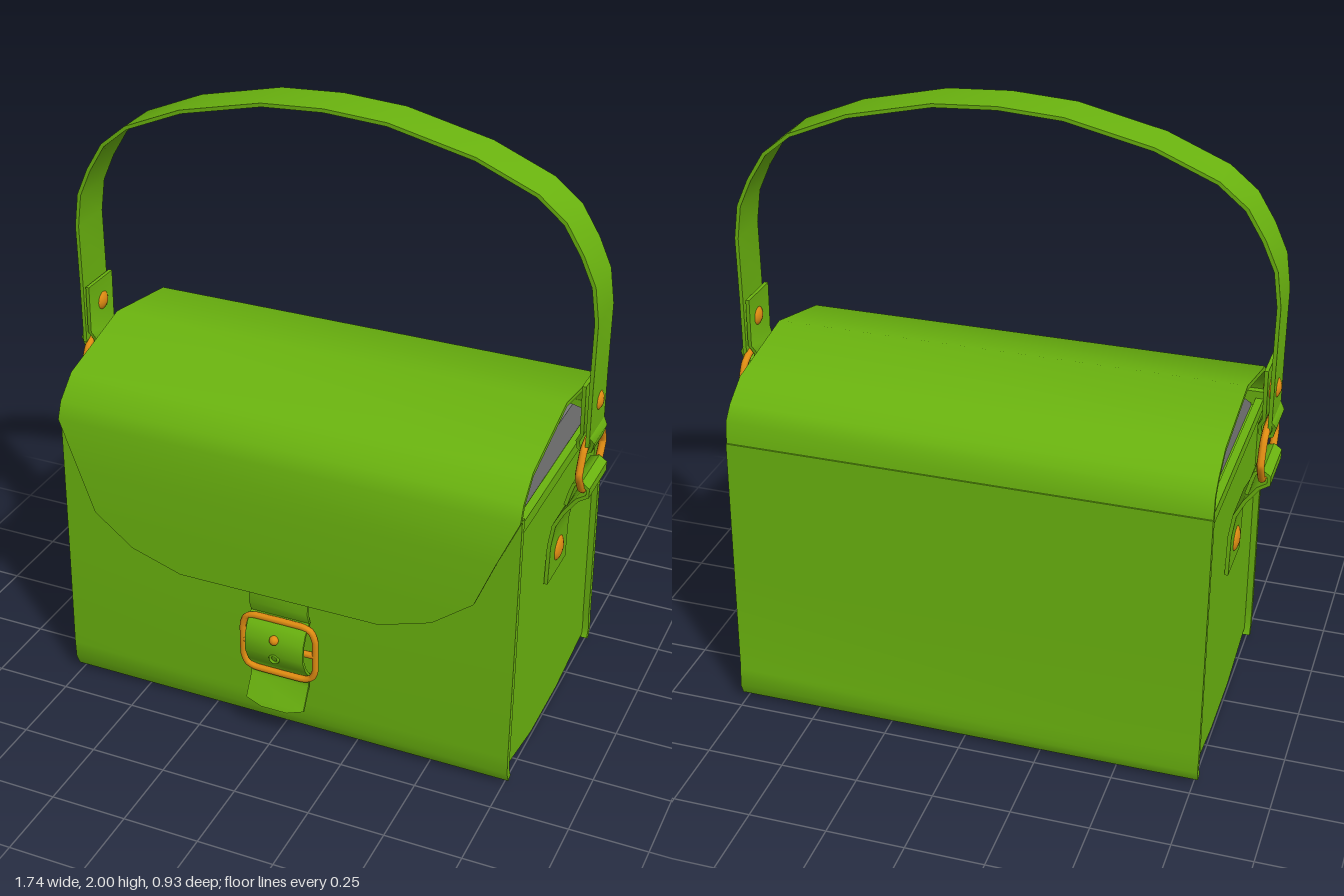
import * as THREE from 'three';
import { toCreasedNormals } from 'three/addons/utils/BufferGeometryUtils.js';

const mat = (name, color) => {
  const m = new THREE.MeshStandardMaterial({ color });
  m.name = name;
  return m;
};

// Strip of leather: rows are [x, y, halfWidth], the width runs along z
function strip(rows, thickness) {
  const pos = [], index = [];
  rows.forEach(([x, y, w], i) => {
    const a = rows[Math.max(i - 1, 0)], b = rows[Math.min(i + 1, rows.length - 1)];
    const len = Math.hypot(b[0] - a[0], b[1] - a[1]);
    const nx = -(b[1] - a[1]) / len * thickness / 2, ny = (b[0] - a[0]) / len * thickness / 2;
    pos.push(x + nx, y + ny, w, x + nx, y + ny, -w, x - nx, y - ny, -w, x - nx, y - ny, w);
    if (i === rows.length - 1) return;
    for (let k = 0; k < 4; k++) {
      const p = i * 4 + k, q = i * 4 + (k + 1) % 4;
      index.push(p, p + 4, q + 4, p, q + 4, q);
    }
  });
  const e = (rows.length - 1) * 4;
  index.push(0, 1, 2, 0, 2, 3, e, e + 2, e + 1, e, e + 3, e + 2);
  const g = new THREE.BufferGeometry();
  g.setAttribute('position', new THREE.Float32BufferAttribute(pos, 3));
  g.setIndex(index);
  return toCreasedNormals(g, 0.9);
}

// Same strip with rows [z, y, halfWidth] and the width along x
const crossStrip = (rows, thickness) => strip(rows, thickness).rotateY(-Math.PI / 2);

// Solid with a (z, y) profile running along x
function prism(points, width) {
  const shape = new THREE.Shape(points.map(([z, y]) => new THREE.Vector2(z, y)));
  return new THREE.ExtrudeGeometry(shape, { depth: width, bevelEnabled: false })
    .translate(0, 0, -width / 2).rotateY(-Math.PI / 2);
}

// Closed wire bent through the given points
function wire(points, radius, tension) {
  const curve = new THREE.CatmullRomCurve3(points, true, 'catmullrom', tension);
  return new THREE.TubeGeometry(curve, 64, radius, 8, true);
}

export function createModel() {
  const leather = mat('green leather', 0x6ab30f);
  const brass = mat('orange brass', 0xe08c12);
  const lining = mat('grey lining', 0x7a7a7a);

  const bag = new THREE.Group();
  bag.name = 'handbag';
  const add = (name, geometry, material, parent = bag) => {
    const mesh = new THREE.Mesh(geometry, material);
    mesh.name = name;
    parent.add(mesh);
    return mesh;
  };

  // Body, with the stuffing showing below the flap
  add('body', prism([[0.37, 0.92], [0.37, 0.05], [0.1, 0.005], [-0.16, 0.005],
    [-0.44, 0.04], [-0.425, 0.92]], 1.49), leather);
  add('stuffing', prism([[0.35, 0.9], [0.35, 0.93], [0.17, 1.045], [-0.22, 1.045],
    [-0.4, 0.93], [-0.4, 0.9]], 1.44), lining);

  // Front panel, back panel and flap
  const W = 0.765;
  add('frontPanel', crossStrip([[0.37, 0.97, W], [0.378, 0.5, W], [0.387, 0.12, W],
    [0.385, 0.06, W], [0.37, 0.025, W]], 0.022), leather);
  add('backPanel', crossStrip([[-0.44, 0.025, W], [-0.455, 0.06, W], [-0.447, 0.12, W],
    [-0.44, 0.5, W], [-0.432, 0.95, W]], 0.022), leather);
  add('flap', crossStrip([[-0.432, 0.93, W], [-0.424, 1.02, W], [-0.39, 1.06, W],
    [-0.31, 1.113, W], [0, 1.163, W], [0.3, 1.085, W], [0.37, 1.02, W], [0.39, 0.97, W],
    [0.403, 0.82, 0.7], [0.41, 0.67, 0.64], [0.412, 0.57, 0.51], [0.413, 0.515, 0.34]], 0.016), leather);

  // Front fastening
  const fastener = new THREE.Group();
  fastener.name = 'fastener';
  bag.add(fastener);
  add('buckleStrap', crossStrip([[0.405, 0.56, 0.1], [0.414, 0.48, 0.1], [0.4, 0.44, 0.1],
    [0.43, 0.41, 0.1], [0.448, 0.375, 0.1], [0.45, 0.32, 0.1], [0.43, 0.275, 0.1],
    [0.403, 0.24, 0.1], [0.41, 0.2, 0.1], [0.45, 0.13, 0.1], [0.456, 0.113, 0.045]], 0.01), leather, fastener);
  const corners = [];
  for (const [sx, sy] of [[1, 1], [-1, 1], [-1, -1], [1, -1]]) {
    const ends = [[0.125, 0.055], [0.112, 0.088], [0.08, 0.1]];
    if (sx * sy < 0) ends.reverse();
    ends.forEach(([x, y]) => corners.push(new THREE.Vector3(sx * x, 0.33 + sy * y, 0.415)));
  }
  add('buckleFrame', wire(corners, 0.011, 0.2), brass, fastener);
  add('buckleBar', new THREE.CylinderGeometry(0.011, 0.011, 0.25, 8).rotateZ(Math.PI / 2),
    brass, fastener).position.set(0, 0.33, 0.415);
  add('bucklePin', new THREE.SphereGeometry(0.016, 10, 8), brass, fastener).position.set(0, 0.378, 0.451);
  const hole = add('strapHole', new THREE.TorusGeometry(0.014, 0.005, 6, 12), leather, fastener);
  hole.position.set(0, 0.308, 0.452);

  // Handle arch, mirrored about the middle
  const half = [[0.853, 1.07], [0.853, 1.27], [0.855, 1.48], [0.84, 1.59], [0.8, 1.68],
    [0.745, 1.77], [0.66, 1.84], [0.47, 1.92], [0.2, 1.982]];
  const arch = [...half, [0, 1.994], ...half.slice().reverse().map(([x, y]) => [-x, y])];
  const handle = add('handle', strip(arch.map(([x, y]) => [x, y, 0.075]), 0.012), leather);
  handle.position.z = -0.01;

  // Fittings at both ends
  for (const s of [1, -1]) {
    const fitting = new THREE.Group();
    fitting.name = s > 0 ? 'leftFitting' : 'rightFitting';
    bag.add(fitting);
    const side = rows => rows.map(([x, y, w]) => [s * x, y, w]);

    add('gussetRim', new THREE.BoxGeometry(0.025, 0.04, 0.78), leather, fitting)
      .position.set(s * 0.745, 0.925, -0.03);
    add('handleLoop', strip(side([[0.853, 1.1, 0.075], [0.866, 1.08, 0.065], [0.858, 1.05, 0.06],
      [0.84, 1.042, 0.06], [0.823, 1.055, 0.06], [0.82, 1.08, 0.065], [0.834, 1.11, 0.075],
      [0.832, 1.27, 0.075]]), 0.012), leather, fitting).position.z = -0.01;
    add('sideTab', strip(side([[0.8, 0.86, 0.09], [0.813, 0.91, 0.09], [0.822, 0.937, 0.09],
      [0.845, 0.945, 0.09], [0.866, 0.93, 0.09], [0.866, 0.905, 0.09], [0.835, 0.885, 0.09],
      [0.795, 0.83, 0.09], [0.768, 0.775, 0.09], [0.757, 0.7, 0.09], [0.754, 0.56, 0.09]]), 0.012),
      leather, fitting).position.z = -0.02;

    const ring = [[0.075, 0.915], [0.122, 0.985], [0.09, 1.055], [0.045, 1.078],
      [-0.045, 1.078], [-0.09, 1.055], [-0.122, 0.985], [-0.075, 0.915]];
    add('ring', wire(ring.map(([z, y]) => new THREE.Vector3(s * 0.843, y, z - 0.025)), 0.012, 0.2),
      brass, fitting);

    // Domed rivets
    for (const [name, x, y, r, d] of [['handleRivet', 0.843, 1.19, 0.037, 0.028], ['tabRivet', 0.757, 0.645, 0.043, 0.018]]) {
      const rivet = add(name, new THREE.SphereGeometry(r, 16, 10), brass, fitting);
      rivet.scale.x = d / r;
      rivet.position.set(s * x, y, -0.02);
    }
  }
  return bag;
}
